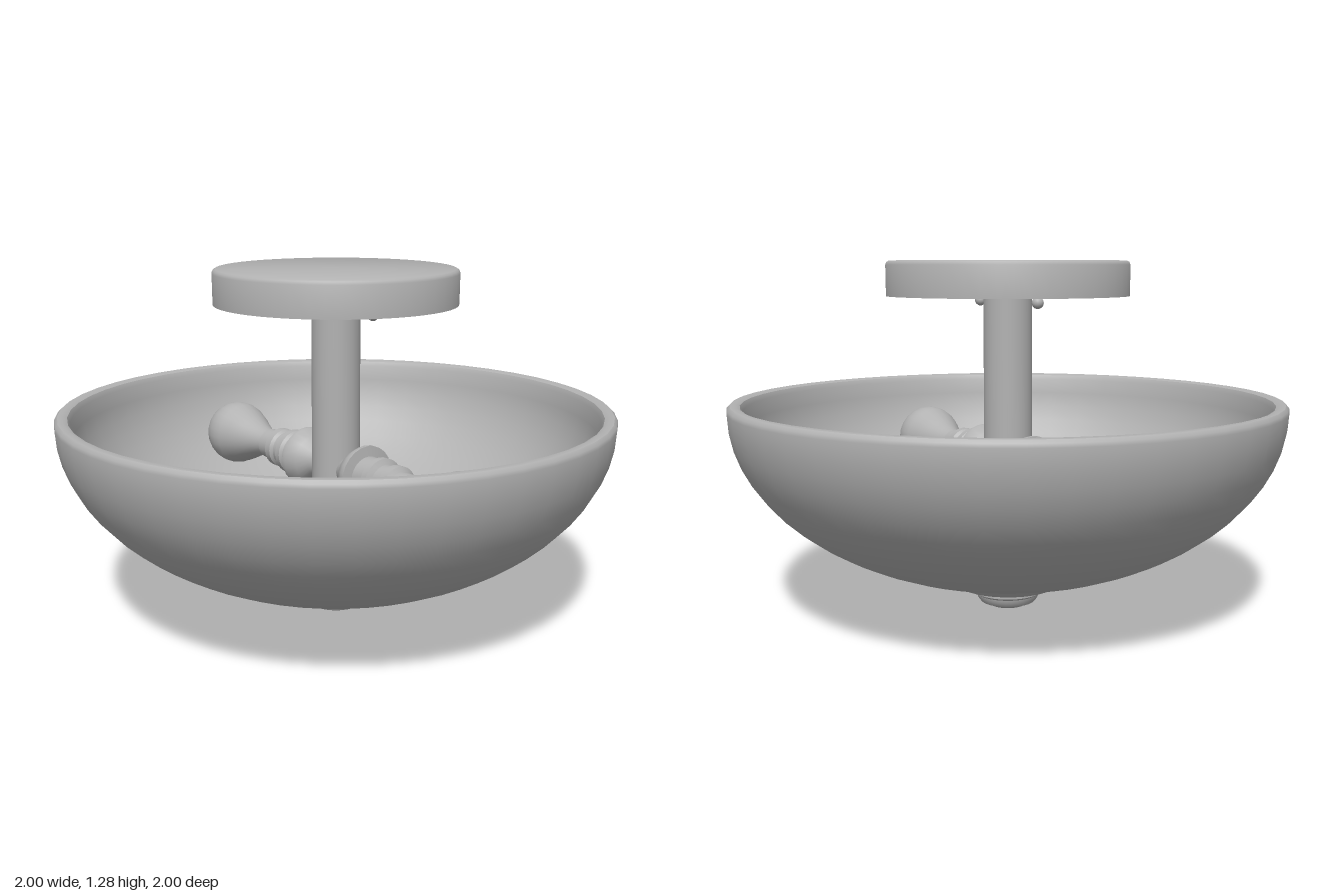
import * as THREE from 'three';
import { toCreasedNormals } from 'three/addons/utils/BufferGeometryUtils.js';

const grey = new THREE.MeshStandardMaterial({ color: 0xb2b2b2 });
grey.name = 'plain grey';

// Revolves a [radius, height] profile, drawn from the bottom up along its outside
function turned(name, profile, segments = 32) {
  const points = profile.map(([r, y]) => new THREE.Vector2(r, y));
  const geometry = toCreasedNormals(new THREE.LatheGeometry(points, segments), 0.65);
  const mesh = new THREE.Mesh(geometry, grey);
  mesh.name = name;
  return mesh;
}

// Quarter ellipse from the bottom centre out to the rim
function ellipse(radius, depth, top, steps = 16) {
  return Array.from({ length: steps + 1 }, (_, i) => {
    const a = (i / steps) * Math.PI / 2;
    return [radius * Math.sin(a), top - depth * Math.cos(a)];
  });
}

// One lamp along local +y: socket with flange, then the bulb
function createLamp(name) {
  const lamp = new THREE.Group();
  lamp.name = name;
  lamp.add(turned('socket', [
    [0, 0.06], [0.05, 0.06], [0.06, 0.1], [0.09, 0.13], [0.112, 0.17], [0.112, 0.185],
    [0.075, 0.19], [0.075, 0.24], [0.085, 0.25], [0.085, 0.275], [0.065, 0.285],
    [0.065, 0.32], [0.075, 0.33], [0.075, 0.36], [0.058, 0.37], [0.058, 0.43], [0, 0.43],
  ], 24));
  const bulb = [[0, 0.42], [0.05, 0.42], [0.052, 0.45], [0.062, 0.49], [0.082, 0.54], [0.104, 0.59]];
  for (let i = 0; i <= 10; i++) {
    const a = 0.5 - (i / 10) * (0.5 + Math.PI / 2);
    bulb.push([Math.max(0, 0.125 * Math.cos(a)), 0.67 - 0.125 * Math.sin(a)]);
  }
  lamp.add(turned('bulb', bulb, 24));
  return lamp;
}

export function createModel() {
  const model = new THREE.Group();
  model.name = 'ceilingLight';

  // Thick glass bowl with a rounded rim
  model.add(turned('bowl', [
    ...ellipse(1, 0.65, 0.765),
    [0.998, 0.778], [0.988, 0.788], [0.97, 0.79], [0.954, 0.783],
    ...ellipse(0.945, 0.6, 0.765).reverse(),
  ], 48));

  // Ceiling plate and stem
  model.add(turned('canopy', [
    [0, 1.16], [0.437, 1.16], [0.438, 1.27], [0.434, 1.28], [0.426, 1.285], [0, 1.285],
  ], 48));
  model.add(turned('stem', [[0, 0.12], [0.088, 0.12], [0.088, 1.17], [0, 1.17]]));

  // Stepped finial under the bowl
  model.add(turned('finial', [
    [0, 0], [0.03, 0.004], [0.065, 0.015], [0.075, 0.024], [0.1, 0.03], [0.112, 0.045],
    [0.115, 0.058], [0.126, 0.066], [0.126, 0.076], [0.15, 0.082], [0.185, 0.092],
    [0.207, 0.112], [0.213, 0.145], [0, 0.145],
  ]));

  // Opposed lamps, with a small screw knob above each
  const heading = 0.59;
  for (const [side, turn] of [['left', 0], ['right', Math.PI]]) {
    const lamp = createLamp(side + 'Lamp');
    lamp.position.y = 0.56;
    lamp.rotation.set(0, turn - heading, -Math.PI / 2);
    model.add(lamp);

    const knob = new THREE.Mesh(new THREE.SphereGeometry(0.021, 16, 12), grey);
    knob.name = side + 'Knob';
    const a = heading + turn;
    knob.position.set(0.21 * Math.cos(a), 1.14, 0.21 * Math.sin(a));
    model.add(knob);
  }
  return model;
}
